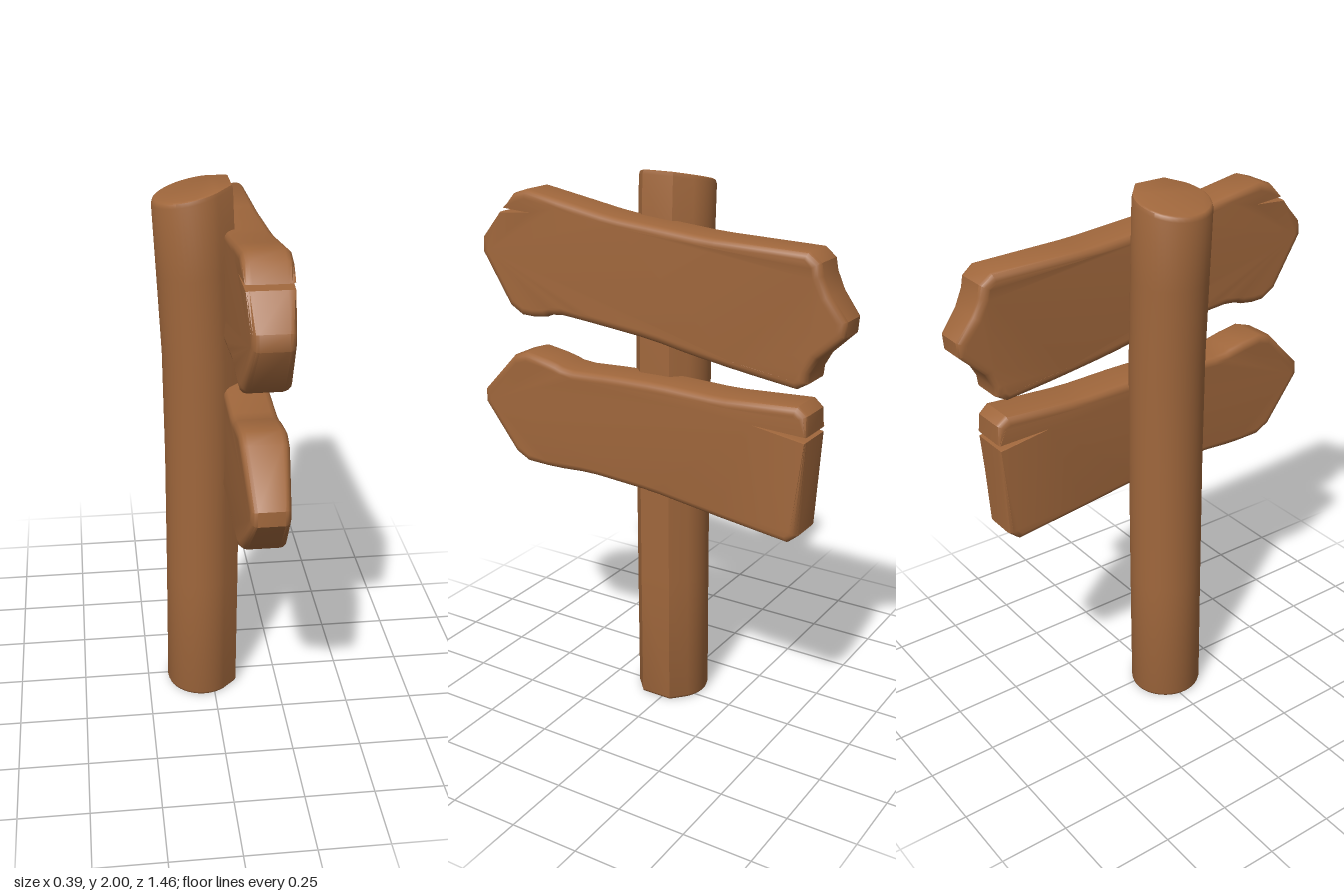
import * as THREE from 'three';
import { toCreasedNormals } from 'three/addons/utils/BufferGeometryUtils.js';

const wood = new THREE.MeshStandardMaterial({ color: 0xa0673c });
wood.name = 'brown wood';

// Joins equal closed rings of [x, y, z] and caps both ends
function loft(name, rings, capOutline) {
  const n = rings[0].length;
  const index = [];
  for (let i = 0; i < rings.length - 1; i++) {
    for (let j = 0; j < n; j++) {
      const a = i * n + j, b = i * n + (j + 1) % n;
      index.push(a, b, a + n, b, b + n, a + n);
    }
  }
  const last = (rings.length - 1) * n;
  for (const [a, b, c] of THREE.ShapeUtils.triangulateShape(capOutline, [])) {
    index.push(a, c, b, last + a, last + b, last + c);
  }
  const geometry = new THREE.BufferGeometry();
  geometry.setAttribute('position', new THREE.Float32BufferAttribute(rings.flat(2), 3));
  geometry.setIndex(index);
  const mesh = new THREE.Mesh(toCreasedNormals(geometry, 0.7), wood);
  mesh.name = name;
  return mesh;
}

// Cuts each corner of an outline; crack points (with a third value) stay sharp
function softenCorners(points) {
  const out = [];
  points.forEach((p, i) => {
    if (p.length > 2) { out.push(p); return; }
    const ends = [points.at(i - 1), points[(i + 1) % points.length]];
    for (const q of ends) {
      const length = Math.hypot(q[0] - p[0], q[1] - p[1]);
      const t = Math.min(0.035 / length, 0.3);
      out.push([p[0] + (q[0] - p[0]) * t, p[1] + (q[1] - p[1]) * t]);
    }
  });
  return out;
}

// Moves an outline inward along its mitred corners
function inset(points, amount) {
  const normal = (p, q) => new THREE.Vector2(p[1] - q[1], q[0] - p[0]).normalize();
  return points.map((p, i) => {
    const a = normal(points.at(i - 1), p);
    const b = normal(p, points[(i + 1) % points.length]);
    const miter = Math.max(0.4, 1 + a.dot(b));
    const scale = p.length > 2 ? p[2] : 1;
    return a.add(b).multiplyScalar(amount * scale / miter).add(new THREE.Vector2(p[0], p[1]));
  });
}

// Thick plank with rounded edges, outlined in z and y, thinner toward both ends
function board(name, corners) {
  const outline = softenCorners(corners);
  const half = 0.08, round = 0.024;
  const profile = [[0.03, half]];
  for (let i = 0; i <= 3; i++) {
    const a = (i / 3) * Math.PI / 2;
    profile.push([round * (1 - Math.sin(a)), half - round * (1 - Math.cos(a))]);
  }
  const mirrored = profile.map(([d, x]) => [d, -x]).reverse();
  const rings = [...profile, ...mirrored].map(([d, x]) => inset(outline, d).map((p) => {
    const taper = 1 - 0.22 * THREE.MathUtils.clamp((Math.abs(p.x) - 0.55) / 0.18, 0, 1);
    return [0.11 + x * taper, p.y, p.x];
  }));
  return loft(name, rings, inset(outline, 0.03));
}

// Round post with a flattened face toward the boards and a slanted top
function post() {
  const section = [];
  for (let i = 0; i <= 28; i++) {
    const a = THREE.MathUtils.degToRad(55 + (250 * i) / 28);
    section.push(new THREE.Vector2(Math.cos(a) * 0.132, Math.sin(a) * 0.134));
  }
  section.push(new THREE.Vector2(0.13, -0.06), new THREE.Vector2(0.13, 0.06));
  // height, centre x, scale, slant
  const levels = [
    [1.971, -0.068, 0.93, 0.23], [1.968, -0.068, 0.97, 0.23], [1.955, -0.068, 1, 0.23],
    [1.7, -0.056, 1, 0.1], [1.4, -0.042, 1, 0], [1.0, -0.037, 1, 0], [0.5, -0.038, 1, 0],
    [0.012, -0.041, 1, 0], [0.003, -0.041, 0.98, 0], [0, -0.041, 0.95, 0],
  ];
  const rings = levels.map(([y, cx, s, slant]) =>
    section.map((p) => [cx + p.x * s, y + p.x * s * slant, 0.022 + p.y * s]));
  return loft('post', rings, section);
}

export function createModel() {
  const group = new THREE.Group();
  group.name = 'signpost';
  group.add(post());

  // Upper board, pointed at both ends, with a crack by the front point
  group.add(board('upperBoard', [
    [0.725, 1.705], [0.605, 1.829, 0.1], [0.47, 1.838, 0], [0.592, 1.843, 0.1],
    [0.525, 1.922], [0.32, 1.886], [0.14, 1.854], [-0.05, 1.838], [-0.23, 1.822],
    [-0.63, 1.812], [-0.65, 1.71], [-0.75, 1.578], [-0.615, 1.45], [-0.605, 1.362],
    [-0.365, 1.393], [-0.18, 1.42], [-0.02, 1.45], [0.245, 1.477], [0.38, 1.488],
    [0.44, 1.462], [0.56, 1.465],
  ]));

  // Lower board, pointed at the front, with a crack in its square end
  group.add(board('lowerBoard', [
    [0.752, 1.127], [0.55, 1.332], [0.4, 1.308], [0.34, 1.287], [0.14, 1.297],
    [-0.05, 1.3], [-0.285, 1.292], [-0.612, 1.312],
    [-0.613, 1.21, 0.1], [-0.42, 1.222, 0], [-0.612, 1.193, 0.1],
    [-0.592, 0.822], [-0.26, 0.862], [-0.02, 0.894], [0.245, 0.91], [0.4, 0.899],
    [0.56, 0.903],
  ]));
  return group;
}
